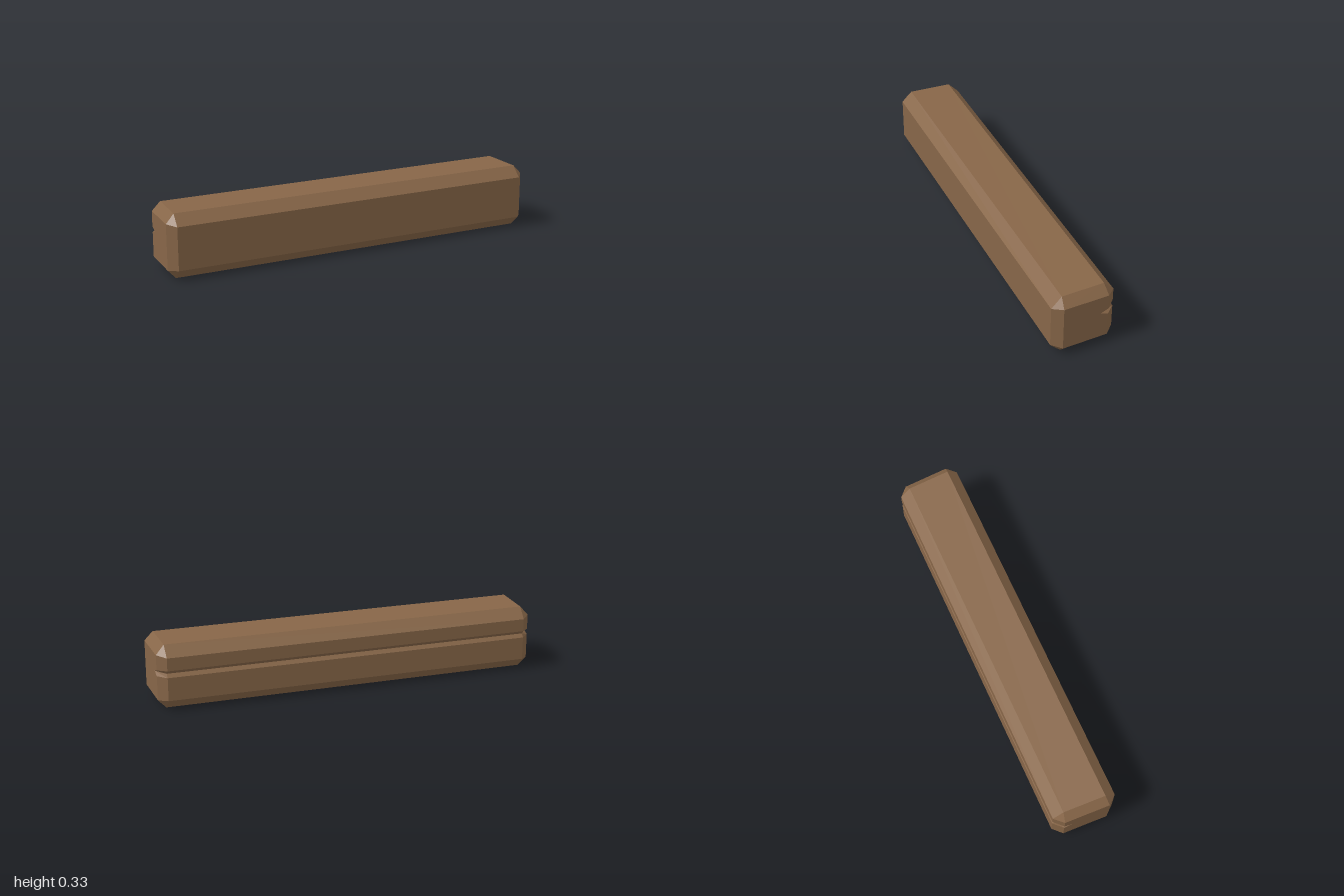
import * as THREE from 'three';

// Cross-sections as [z, y], counter-clockwise seen from +x; both have 11 points.
const BODY = [
  [-0.11, 0.327], [0.11, 0.327], [0.163, 0.273], [0.163, 0.053], [0.11, 0.001], [-0.11, 0.001],
  [-0.163, 0.053], [-0.163, 0.172], [-0.148, 0.19], [-0.163, 0.207], [-0.163, 0.273],
];
// At the ends each chamfer closes to one corner and the groove cuts deeper.
const END = [
  [-0.118, 0.28], [0.116, 0.281], [0.116, 0.281], [0.116, 0.047], [0.116, 0.047], [-0.118, 0.046],
  [-0.118, 0.046], [-0.118, 0.172], [-0.078, 0.187], [-0.118, 0.202], [-0.118, 0.28],
];
const TIP = 8; // index of the groove's deepest point

// Place a cross-section at one end; the ends are cut slightly askew.
function ring(section, x, side) {
  return section.map(([z, y]) => new THREE.Vector3(side * (x + 0.044 * z), y, z));
}

function beamGeometry() {
  const rings = [ring(END, 0.995, -1), ring(BODY, 0.953, -1), ring(BODY, 0.953, 1), ring(END, 0.995, 1)];
  const n = BODY.length;
  const positions = [];
  const triangle = (a, b, c) => {
    if (a.equals(b) || b.equals(c) || c.equals(a)) return;
    for (const p of [a, b, c]) positions.push(p.x, p.y, p.z);
  };

  // Long faces and end bevels
  for (let r = 0; r < rings.length - 1; r++) {
    const a = rings[r], b = rings[r + 1];
    for (let i = 0; i < n; i++) {
      const j = (i + 1) % n;
      triangle(a[i], a[j], b[j]);
      triangle(a[i], b[j], b[i]);
    }
  }

  // End faces, fanned from the tip of the groove
  const left = rings[3], right = rings[0];
  for (let k = 1; k < n - 1; k++) {
    const i = (TIP + k) % n, j = (TIP + k + 1) % n;
    triangle(left[TIP], left[i], left[j]);
    triangle(right[TIP], right[j], right[i]);
  }

  const geometry = new THREE.BufferGeometry();
  geometry.setAttribute('position', new THREE.Float32BufferAttribute(positions, 3));
  geometry.computeVertexNormals();
  return geometry;
}

export function createModel() {
  const wood = new THREE.MeshStandardMaterial({ color: 0x876648 });
  wood.name = 'brown wood';

  const group = new THREE.Group();
  group.name = 'woodenBeam';
  const beam = new THREE.Mesh(beamGeometry(), wood);
  beam.name = 'beam';
  group.add(beam);
  return group;
}
